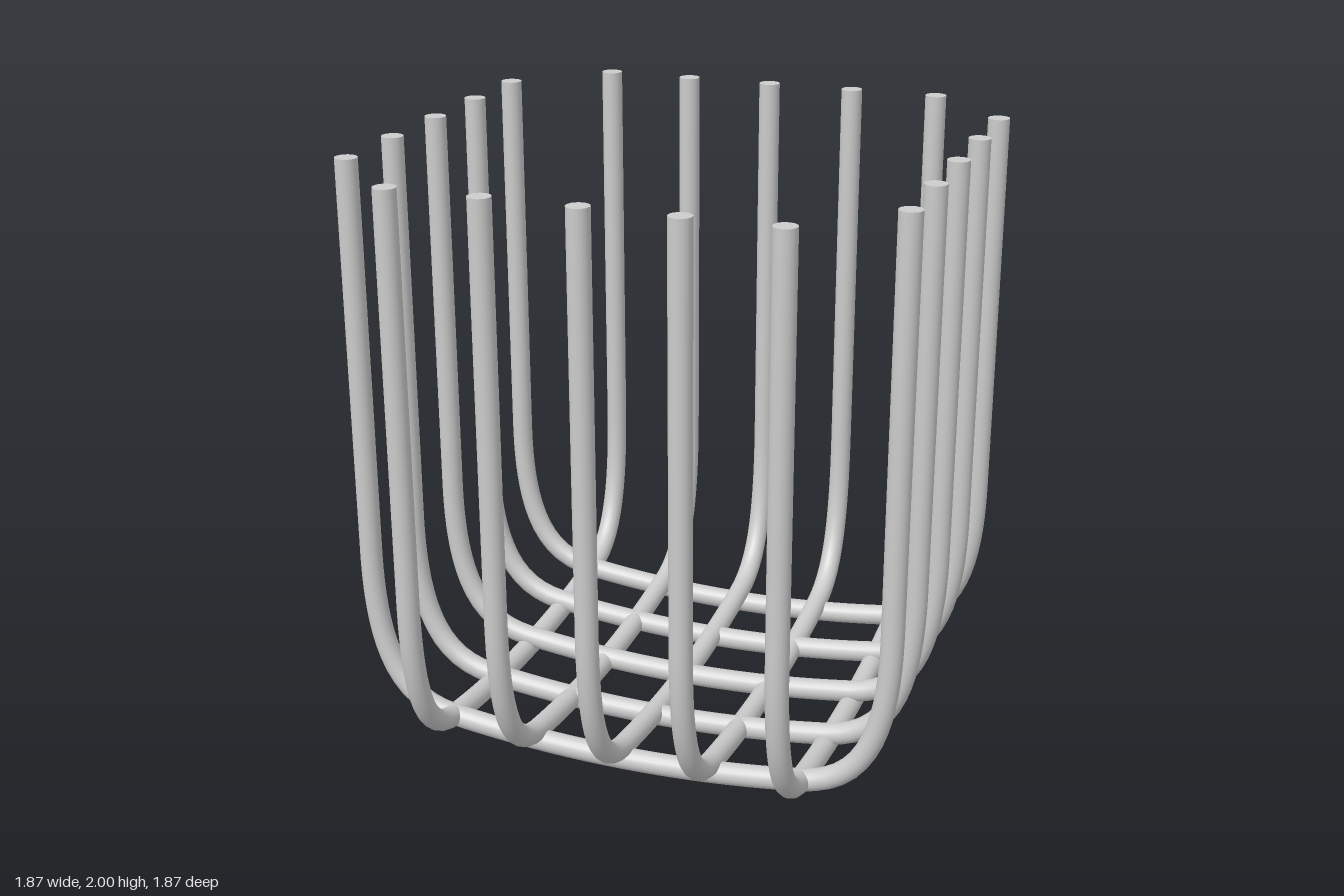
import * as THREE from 'three';
import { mergeGeometries } from 'three/addons/utils/BufferGeometryUtils.js';

const RADIUS = 0.037, SIDES = 20;
const REACH = 0.899, TOP = 2;
const OFFSETS = [-0.616, -0.309, 0, 0.309, 0.616];

// Centre line of one rod: upright, bend, sagging floor, bend, upright
function rodPath() {
  const v = (x, y) => new THREE.Vector3(x, y, 0);
  const path = new THREE.CurvePath();
  path.add(new THREE.LineCurve3(v(-REACH, TOP), v(-REACH, 0.65)));
  path.add(new THREE.CubicBezierCurve3(v(-REACH, 0.65), v(-REACH, 0.25), v(-0.8, 0.112), v(-0.62, 0.082)));
  path.add(new THREE.QuadraticBezierCurve3(v(-0.62, 0.082), v(0, -0.008), v(0.62, 0.082)));
  path.add(new THREE.CubicBezierCurve3(v(0.62, 0.082), v(0.8, 0.112), v(REACH, 0.25), v(REACH, 0.65)));
  path.add(new THREE.LineCurve3(v(REACH, 0.65), v(REACH, TOP)));
  return path;
}

// Tube with a flat disc closing each upper end
function rodGeometry() {
  const parts = [new THREE.TubeGeometry(rodPath(), 120, RADIUS, SIDES, false)];
  for (const side of [-1, 1]) {
    const cap = new THREE.CircleGeometry(RADIUS, SIDES);
    cap.rotateX(-Math.PI / 2).translate(side * REACH, TOP, 0);
    parts.push(cap);
  }
  return mergeGeometries(parts);
}

export function createModel() {
  const group = new THREE.Group();
  group.name = 'wireBasket';
  const material = new THREE.MeshStandardMaterial({ color: 0xcccccc });
  const geometry = rodGeometry();

  // Five U-shaped rods each way, crossing in the floor
  OFFSETS.forEach((offset, i) => {
    const across = new THREE.Mesh(geometry, material);
    across.name = `crosswiseRod${i + 1}`;
    across.position.z = offset;

    const along = new THREE.Mesh(geometry, material);
    along.name = `lengthwiseRod${i + 1}`;
    along.rotation.y = Math.PI / 2;
    along.position.x = offset;

    group.add(across, along);
  });
  return group;
}
